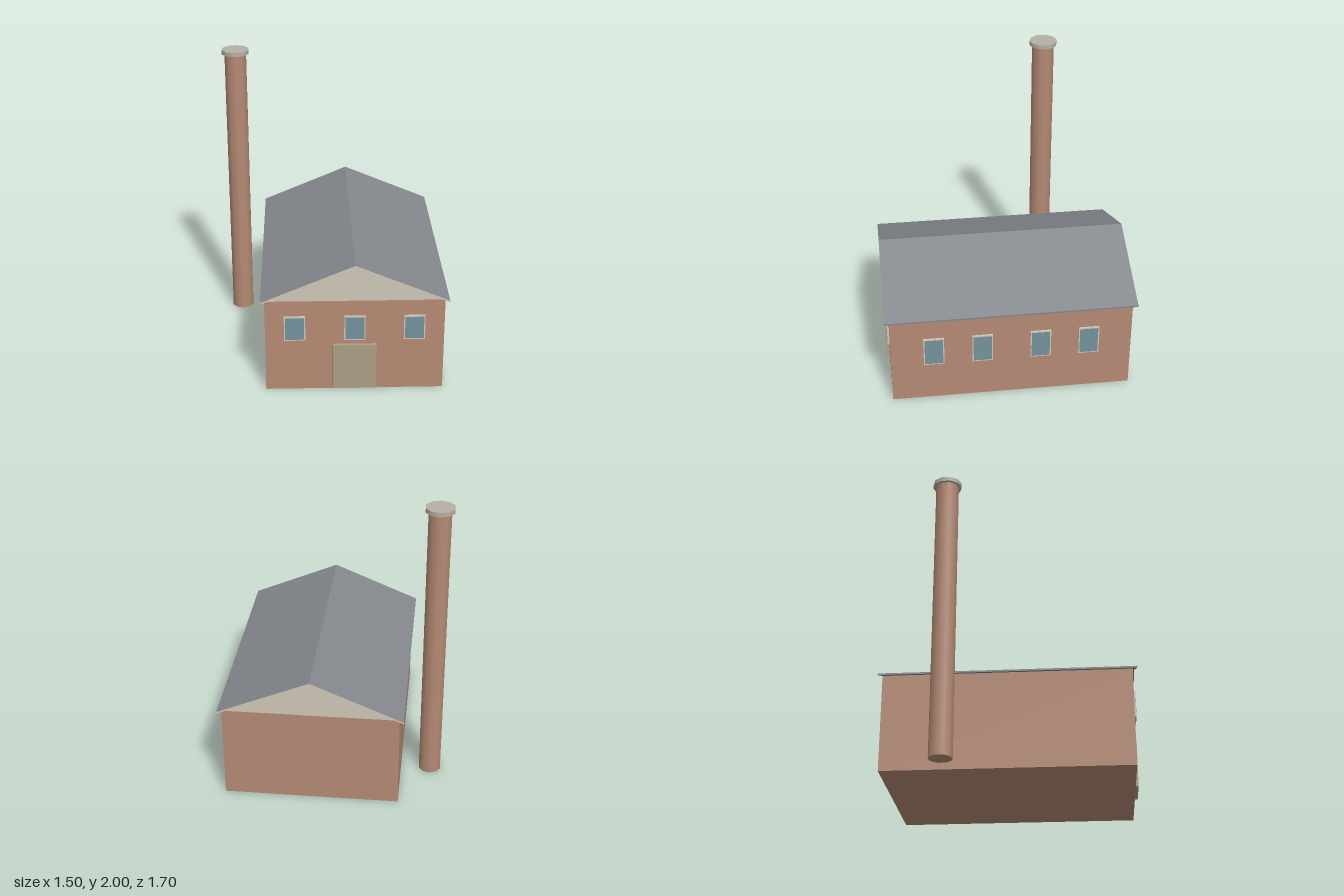
import * as THREE from 'three';

const mat = (color) => new THREE.MeshStandardMaterial({ color });
const brick = mat(0xb58a74), trim = mat(0xd0c8b8), slate = mat(0x84888d);
const glass = mat(0x74939d), wood = mat(0xaca085), stone = mat(0xb5b1a6);

const CX = 0.13;          // ridge line
const HALF_W = 0.59, HALF_L = 0.82, WALL_H = 0.66;
const EAVE = 0.617, ROOF_L = 0.85, RIDGE = 0.927, THICK = 0.016;

function add(parent, name, geometry, material, x = 0, y = 0, z = 0) {
  const mesh = new THREE.Mesh(geometry, material);
  mesh.name = name;
  mesh.position.set(x, y, z);
  parent.add(mesh);
  return mesh;
}

// Extrudes an outline along z, centred on z = 0
function prism(points, length) {
  const shape = new THREE.Shape(points.map(([x, y]) => new THREE.Vector2(x, y)));
  return new THREE.ExtrudeGeometry(shape, { depth: length, bevelEnabled: false }).translate(0, 0, -length / 2);
}

// Framed window whose back rests on z = 0, facing +z
function makeWindow(name, w, h) {
  const group = new THREE.Group();
  group.name = name;
  add(group, 'windowFrame', new THREE.BoxGeometry(w, h, 0.014), trim, 0, 0, 0.007);
  add(group, 'windowPane', new THREE.BoxGeometry(w - 0.016, h - 0.016, 0.006), glass, 0, 0, 0.0125);
  return group;
}

export function createModel() {
  const model = new THREE.Group();
  model.name = 'boilerHouse';

  // Brick walls and pale gables
  add(model, 'walls', new THREE.BoxGeometry(HALF_W * 2, WALL_H, HALF_L * 2), brick, CX, WALL_H / 2, 0);
  add(model, 'gables', prism([[-HALF_W, WALL_H], [HALF_W, WALL_H], [0, RIDGE - THICK]], HALF_L * 2), trim, CX);

  // Folded roof slab with pale end edges
  const low = 0.655;
  add(model, 'roof', prism([
    [-EAVE, low], [0, RIDGE - THICK], [EAVE, low],
    [EAVE, low + 0.012], [0, RIDGE], [-EAVE, low + 0.012],
  ], ROOF_L * 2), [trim, slate], CX);

  // Front door
  add(model, 'door', new THREE.BoxGeometry(0.29, 0.33, 0.02), wood, CX, 0.175, HALF_L + 0.01);

  // Windows on the front and the left side
  for (const x of [-0.265, 0.13, 0.522]) {
    const win = makeWindow('frontWindow', 0.14, 0.175);
    win.position.set(x, 0.463, HALF_L);
    model.add(win);
  }
  for (const z of [0.53, 0.2, -0.195, -0.525]) {
    const win = makeWindow('sideWindow', 0.14, 0.21);
    win.position.set(CX + HALF_W, 0.395, z);
    win.rotation.y = Math.PI / 2;
    model.add(win);
  }

  // Free-standing chimney with a flat cap
  add(model, 'chimney', new THREE.CylinderGeometry(0.078, 0.078, 1.97, 10), brick, -0.66, 0.985, -0.395);
  add(model, 'chimneyCap', new THREE.CylinderGeometry(0.0975, 0.0975, 0.03, 10), stone, -0.66, 1.985, -0.395);

  return model;
}
